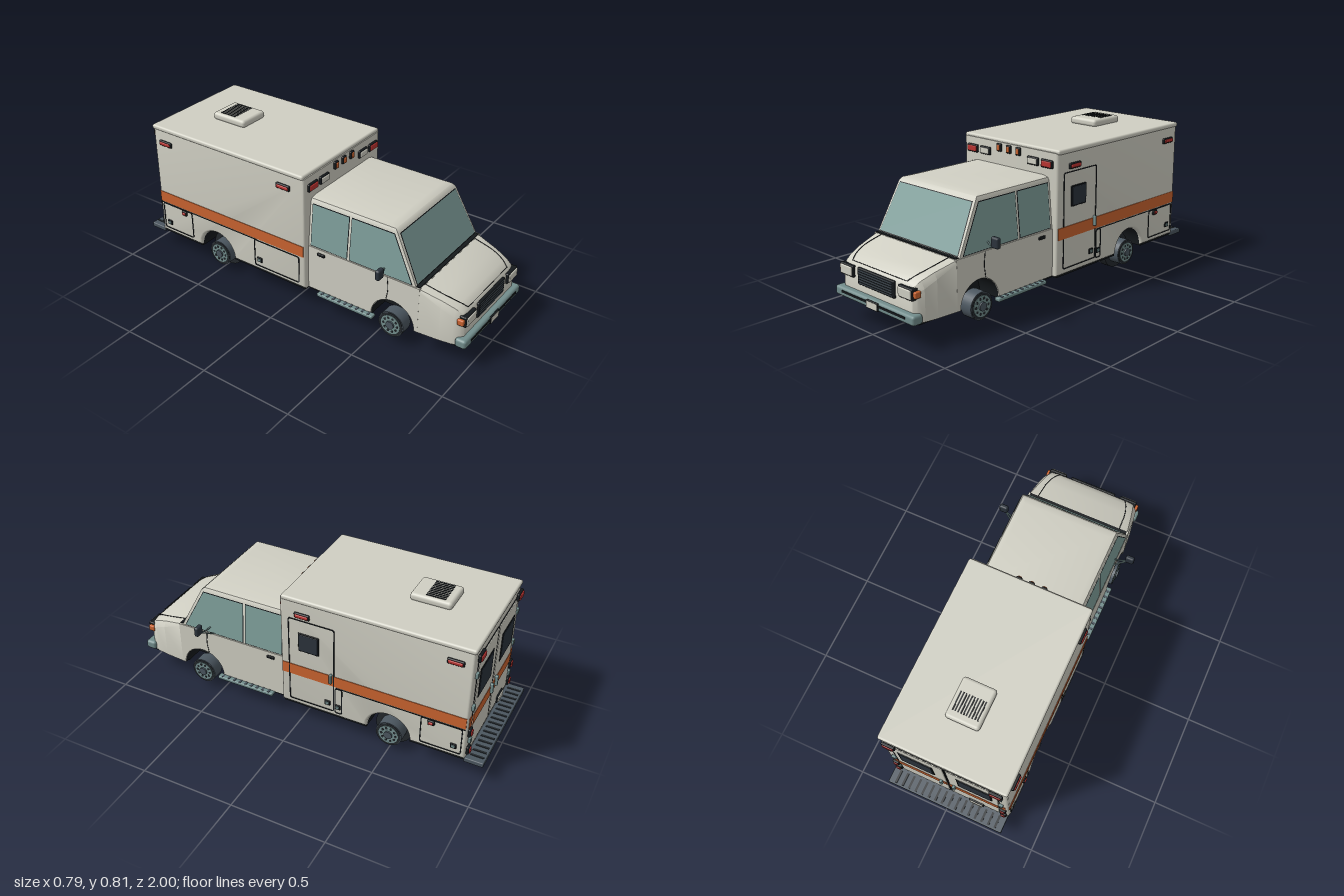
import * as THREE from 'three';
import { toCreasedNormals } from 'three/addons/utils/BufferGeometryUtils.js';
import { RoundedBoxGeometry } from 'three/addons/geometries/RoundedBoxGeometry.js';

const paint = (name, color) => Object.assign(new THREE.MeshStandardMaterial({ color }), { name });
const M = {
  body: paint('cream paint', 0xd0cfc3), orange: paint('orange', 0xcb6430), red: paint('red lamp', 0xb93330),
  navy: paint('dark window', 0x2b333c), black: paint('black trim', 0x15191c), glass: paint('tinted glass', 0x7f9f9b),
  steel: paint('blue grey metal', 0x728d8c), slate: paint('slate', 0x4b565f), tyre: paint('tyre', 0x24292d),
};
M.glass.side = M.black.side = THREE.DoubleSide;

export function createModel() {
  const root = new THREE.Group();
  root.name = 'ambulance';
  const add = (name, geo, mat, x = 0, y = 0, z = 0, parent = root) => {
    const m = new THREE.Mesh(geo, mat);
    m.name = name;
    m.position.set(x, y, z);
    parent.add(m);
    return m;
  };
  const box = (name, mat, w, h, d, x, y, z, parent) => add(name, new THREE.BoxGeometry(w, h, d), mat, x, y, z, parent);
  const soft = (name, mat, w, h, d, x, y, z, r = 0.008, parent = root) =>
    add(name, new RoundedBoxGeometry(w, h, d, 2, r), mat, x, y, z, parent);
  const group = (name, x, y, z, ry) => {
    const g = new THREE.Group();
    g.name = name;
    g.position.set(x, y, z);
    g.rotation.y = ry;
    root.add(g);
    return g;
  };
  const tube = (name, mat, pts, r) => add(name, new THREE.TubeGeometry(
    new THREE.CatmullRomCurve3(pts.map(p => new THREE.Vector3(...p))), 12, r, 6), mat);

  // Side profile (z, y) pushed across the width
  const profile = (pts, arch, width, bevel) => {
    const s = new THREE.Shape();
    s.moveTo(...pts[0]);
    s.lineTo(arch.z - arch.r, 0.12);
    s.absarc(arch.z, 0.12, arch.r, Math.PI, 0, true);
    pts.slice(1).forEach(p => s.lineTo(...p));
    const g = new THREE.ExtrudeGeometry(s, { depth: width - 2 * bevel, curveSegments: 24, bevelEnabled: bevel > 0,
      bevelSize: bevel, bevelThickness: bevel, bevelOffset: -bevel, bevelSegments: 3 });
    g.translate(0, 0, bevel - width / 2).rotateY(-Math.PI / 2);
    return toCreasedNormals(g, 0.6);
  };
  // Skin joining equal closed rings, with both ends capped
  const loft = rings => {
    const v = [], tri = (...p) => p.forEach(q => v.push(...q)), n = rings[0].length, last = rings[rings.length - 1];
    for (let k = 0; k + 1 < rings.length; k++) for (let i = 0; i < n; i++) {
      const a = rings[k], b = rings[k + 1], j = (i + 1) % n;
      tri(a[i], a[j], b[j]);
      tri(a[i], b[j], b[i]);
    }
    for (let i = 1; i + 1 < n; i++) {
      tri(last[0], last[i], last[i + 1]);
      tri(rings[0][0], rings[0][i + 1], rings[0][i]);
    }
    const g = new THREE.BufferGeometry();
    g.setAttribute('position', new THREE.Float32BufferAttribute(v, 3));
    return toCreasedNormals(g, 0.6);
  };
  // Thin rounded outline drawn in the xy plane
  const roundRect = (C, w, h, r) => {
    const p = new C(), a = w / 2, b = h / 2;
    p.moveTo(a, b - r);
    p.absarc(a - r, b - r, r, 0, Math.PI / 2);
    p.absarc(r - a, b - r, r, Math.PI / 2, Math.PI);
    p.absarc(r - a, r - b, r, Math.PI, Math.PI * 1.5);
    p.absarc(a - r, r - b, r, Math.PI * 1.5, Math.PI * 2);
    p.closePath();
    return p;
  };
  const outline = (name, w, h, x, y, parent, t = 0.005, r = 0.012) => {
    const s = roundRect(THREE.Shape, w, h, r);
    s.holes.push(roundRect(THREE.Path, w - 2 * t, h - 2 * t, r - t / 2));
    add(name, new THREE.ExtrudeGeometry(s, { depth: 0.003, bevelEnabled: false, curveSegments: 5 }), M.black, x, y, 0, parent);
  };
  const lamp = (name, mat, w, h, x, y, z, parent) => {
    soft(name + 'Bezel', M.black, w, h, 0.016, x, y, z, 0.006, parent);
    soft(name, mat, w - 0.012, h - 0.012, 0.016, x, y, z + 0.006, 0.005, parent);
  };

  // Patient box, roof cap and roof vent
  const rear = { z: -0.5, r: 0.118 }, front = { z: 0.598, r: 0.123 };
  add('patientBox', profile([[-0.905, 0.12], [0.095, 0.12], [0.095, 0.755], [-0.905, 0.755]], rear, 0.66, 0.014), M.body);
  soft('roofCap', M.body, 0.668, 0.026, 1.0, 0, 0.758, -0.411, 0.011);
  soft('roofVent', M.body, 0.178, 0.042, 0.215, 0, 0.787, -0.587, 0.017);
  for (let i = 0; i < 10; i++) box('ventSlot', M.black, 0.007, 0.004, 0.1, -0.065 + i * 0.0144, 0.808, -0.605);

  // Lower cab
  add('cabLower', profile([[0.09, 0.12], [0.74, 0.12], [0.74, 0.37], [0.09, 0.37]], front, 0.6, 0), M.body);
  // Nose with a sloping hood: z, half width, height, shoulder chamfer
  add('nose', loft([[0.735, 0.3, 0.37, 0.012], [0.85, 0.291, 0.345, 0.03], [0.915, 0.281, 0.322, 0.035],
    [0.948, 0.268, 0.3, 0.03], [0.962, 0.25, 0.275, 0.02]].map(([z, w, h, c]) => {
    const half = [[w, 0.12], [w, h - c * 1.3], [w - c * 0.6, h - c * 0.35], [w - c * 1.8, h]];
    return [...half, ...half.slice().reverse().map(([x, y]) => [-x, y])].map(([x, y]) => [x, y, z]);
  })), M.body);
  // Cab top: y, half width, windscreen z
  add('cabTop', loft([[0.368, 0.296, 0.72], [0.612, 0.274, 0.594], [0.628, 0.265, 0.578], [0.636, 0.235, 0.54]]
    .map(([y, w, z]) => [[-w, y, z], [w, y, z], [w, y, 0.09], [-w, y, 0.09]])), M.body);

  // Glass panes lying on the cab faces, each over a black gasket
  const wAt = y => 0.296 - (y - 0.368) * 0.09, zAt = y => 0.72 - (y - 0.368) * 0.516;
  const quad = (name, mat, p) => {
    const g = new THREE.BufferGeometry();
    g.setAttribute('position', new THREE.Float32BufferAttribute([p[0], p[1], p[2], p[0], p[2], p[3]].flat(), 3));
    g.computeVertexNormals();
    add(name, g, mat);
  };
  for (const [e, lift, mat, label] of [[0.004, 0.002, M.black, 'Gasket'], [0, 0.004, M.glass, 'Glass']]) {
    const lo = 0.379 - e, hi = 0.604 + e;
    const f = (x, y) => [x, y + lift * 0.45, zAt(y) + lift * 0.9];
    quad('windscreen' + label, mat, [f(-0.281 - e, lo), f(0.281 + e, lo), f(0.257 + e, hi), f(-0.257 - e, hi)]);
    for (const s of [1, -1]) {
      const p = (z, y) => [s * (wAt(y) + lift), y, z];
      const pane = (name, a, b, c) => {
        const q = [p(a, lo), p(c, lo), p(c, hi), p(b, hi)];
        quad(name + label, mat, s > 0 ? q : q.reverse());
      };
      pane('frontDoor', zAt(lo) - 0.02 + e, zAt(hi) - 0.02 + e, 0.343 - e);
      pane('rearCab', 0.325 + e, 0.325 + e, 0.112 - e);
    }
  }
  box('cowl', M.black, 0.58, 0.006, 0.02, 0, 0.371, 0.727);
  tube('hoodFrontSeam', M.black, [[-0.2, 0.302, 0.947], [0, 0.303, 0.948], [0.2, 0.302, 0.947]], 0.0015);

  // Grille, plates and bumpers
  soft('grille', M.black, 0.27, 0.084, 0.016, 0, 0.247, 0.964, 0.006);
  for (let i = 0; i < 6; i++) box('grilleBar', M.slate, 0.246, 0.005, 0.006, 0, 0.216 + i * 0.0125, 0.972);
  soft('frontBumper', M.steel, 0.58, 0.048, 0.06, 0, 0.144, 0.963, 0.014);
  box('bumperStrip', M.black, 0.47, 0.011, 0.006, 0, 0.149, 0.993);
  soft('frontPlateFrame', M.black, 0.088, 0.042, 0.01, 0, 0.143, 0.994, 0.004);
  box('frontPlate', M.body, 0.078, 0.032, 0.004, 0, 0.143, 0.998);
  soft('rearStep', M.slate, 0.65, 0.026, 0.1, 0, 0.113, -0.95, 0.005);
  for (let i = 0; i < 16; i++) box('stepRib', M.tyre, 0.012, 0.004, 0.07, -0.285 + i * 0.038, 0.127, -0.955);

  // Dark underside between the wheel arches
  for (const [a, b, w] of [[-0.9, -0.618, 0.64], [-0.382, 0.088, 0.64], [0.096, 0.475, 0.59], [0.721, 0.945, 0.54]])
    box('floor', M.black, w, 0.012, b - a, 0, 0.116, (a + b) / 2);
  for (const a of [rear, front]) {
    const half = (r, len, open) => new THREE.CylinderGeometry(r, r, len, 32, 1, open, 0, Math.PI).rotateZ(Math.PI / 2);
    add('archLiner', half(a.r - 0.002, a === rear ? 0.625 : 0.596, true), M.black, 0, 0.12, a.z);
    add('wheelWell', half(a.r - 0.003, 0.34), M.black, 0, 0.12, a.z);
    box('wellFloor', M.black, 0.34, 0.012, a.r * 2, 0, 0.116, a.z);
  }

  // Box front marker lights
  for (const x of [-0.068, 0, 0.068]) lamp('amberMarker', M.orange, 0.032, 0.042, x, 0.727, 0.099);

  for (const s of [1, -1]) {
    // Wheels: hub, rim ring and bolt holes; the rear has a larger inner tyre
    const wheel = (name, z, y) => {
      const g = group(name, s * 0.275, y, z, s * Math.PI / 2);
      const disc = (n, m, r, len, at) => add(n, new THREE.CylinderGeometry(r, r, len, 32).rotateX(Math.PI / 2), m, 0, 0, at, g);
      disc('outerTyre', M.slate, 0.07, 0.068, 0);
      disc('tyreFace', M.tyre, 0.066, 0.004, 0.034);
      disc('rim', M.steel, 0.053, 0.006, 0.036);
      disc('hub', M.slate, 0.022, 0.02, 0.038);
      for (let i = 0; i < 10; i++) {
        const t = i * Math.PI / 5;
        disc('rimHole', M.tyre, 0.007, 0.004, 0.038).position.set(0.039 * Math.cos(t), 0.039 * Math.sin(t), 0.038);
      }
      return disc;
    };
    wheel('frontWheel', front.z, 0.11);
    wheel('rearWheel', rear.z, 0.1)('innerTyre', M.tyre, 0.1, 0.05, -0.06);

    // Headlights, indicators, hood seams and roof warning lamps
    lamp('headlight', M.body, 0.1, 0.058, s * 0.215, 0.257, 0.967);
    soft('headlightHousing', M.black, 0.1, 0.056, 0.03, s * 0.215, 0.257, 0.953, 0.006);
    soft('indicator', M.orange, 0.022, 0.032, 0.035, s * 0.27, 0.257, 0.95, 0.006);
    tube('hoodSeam', M.black, [[s * 0.245, 0.371, 0.735], [s * 0.236, 0.345, 0.85], [s * 0.217, 0.322, 0.915], [s * 0.2, 0.302, 0.947]], 0.002);
    lamp('redWarning', M.red, 0.076, 0.042, s * 0.263, 0.696, 0.099);
    lamp('whiteWarning', M.body, 0.074, 0.042, s * 0.169, 0.696, 0.099);

    // Mirror, running board, cab door seam and handle
    soft('mirror', M.navy, 0.048, 0.055, 0.026, s * 0.372, 0.427, 0.563, 0.01);
    tube('mirrorArm', M.steel, [[s * 0.295, 0.375, 0.52], [s * 0.33, 0.392, 0.54], [s * 0.365, 0.41, 0.56]], 0.004);
    tube('mirrorArm', M.steel, [[s * 0.292, 0.41, 0.54], [s * 0.325, 0.402, 0.55], [s * 0.365, 0.41, 0.56]], 0.004);
    soft('runningBoard', M.steel, 0.034, 0.018, 0.335, s * 0.309, 0.111, 0.33, 0.005);
    for (let i = 0; i < 9; i++) box('boardRib', M.slate, 0.024, 0.004, 0.012, s * 0.31, 0.12, 0.19 + i * 0.035);
    tube('cabDoorSeam', M.black, [[s * 0.3, 0.368, 0.562], [s * 0.3, 0.3, 0.568], [s * 0.3, 0.243, 0.56]], 0.002);
    soft('cabHandle', M.black, 0.012, 0.016, 0.045, s * 0.302, 0.342, 0.175, 0.004);

    // Box side: u runs along the side, placed by world z
    const g = group(s > 0 ? 'leftSide' : 'rightSide', s * 0.33, 0, 0, s * Math.PI / 2), u = z => -s * z;
    box('sideStripe', M.orange, 0.985, 0.062, 0.004, u(-0.405), 0.341, 0.001, g);
    box('skirtSeam', M.black, 0.68, 0.004, 0.004, u(-0.555), 0.303, 0.001, g);
    const hatch = (z1, z2, y1, y2, name) => outline(name, z1 - z2, y2 - y1, u((z1 + z2) / 2), (y1 + y2) / 2, g);
    const latch = (z, y) => {
      soft('latch', M.black, 0.032, 0.028, 0.008, u(z), y, 0.002, 0.003, g);
      soft('latchGrip', M.steel, 0.02, 0.016, 0.008, u(z), y, 0.005, 0.003, g);
    };
    hatch(-0.67, -0.885, 0.143, 0.302, 'rearHatch');
    latch(-0.845, 0.185);
    lamp('sideMarker', M.red, 0.036, 0.028, u(-0.725), 0.284, 0.002, g);
    for (const z of [-0.03, -0.818]) lamp('sideLamp', M.red, 0.084, 0.03, u(z), 0.68, 0.003, g);
    if (s > 0) {
      hatch(0.05, -0.205, 0.148, 0.652, 'sideDoor');
      hatch(-0.208, -0.25, 0.143, 0.302, 'smallHatch');
      latch(-0.168, 0.195);
      latch(-0.225, 0.185);
      soft('sideDoorWindowFrame', M.black, 0.115, 0.108, 0.008, u(-0.064), 0.522, 0.001, 0.003, g);
      soft('sideDoorWindow', M.navy, 0.103, 0.096, 0.008, u(-0.064), 0.522, 0.003, 0.003, g);
      soft('sideDoorHandle', M.steel, 0.014, 0.055, 0.02, u(-0.188), 0.357, 0.008, 0.005, g);
    } else {
      hatch(0.06, -0.235, 0.143, 0.302, 'frontHatch');
      latch(-0.2, 0.185);
    }

    // Rear door with window, stripe, hinges, handle and lamps
    const b = group(s > 0 ? 'leftRearDoor' : 'rightRearDoor', 0, 0, -0.905, Math.PI), x = -s;
    outline('doorSeam', 0.282, 0.56, x * 0.142, 0.422, b, 0.004);
    soft('doorPanel', M.body, 0.268, 0.546, 0.012, x * 0.142, 0.422, 0, 0.005, b);
    soft('rearWindowFrame', M.black, 0.186, 0.166, 0.008, x * 0.155, 0.53, 0.005, 0.003, b);
    soft('rearWindow', M.navy, 0.172, 0.152, 0.008, x * 0.155, 0.53, 0.007, 0.003, b);
    box('rearStripe', M.orange, 0.268, 0.062, 0.004, x * 0.142, 0.335, 0.006, b);
    box('rearStripeEdge', M.orange, 0.028, 0.062, 0.004, x * 0.3, 0.335, 0.001, b);
    soft('rearHandle', M.steel, 0.016, 0.06, 0.02, x * 0.035, 0.352, 0.012, 0.005, b);
    for (const y of [0.22, 0.42, 0.61]) soft('hinge', M.steel, 0.026, 0.03, 0.016, x * 0.292, y, 0.006, 0.004, b);
    lamp('rearTopLamp', M.red, 0.07, 0.042, x * 0.277, 0.715, 0.012, b);
    lamp('rearLowLamp', M.red, 0.036, 0.046, x * 0.3, 0.275, 0.006, b);
    lamp('tailLamp', M.red, 0.036, 0.046, x * 0.3, 0.165, 0.006, b);
    if (s < 0) lamp('rearPlate', M.body, 0.085, 0.044, 0.15, 0.168, 0.006, b);
  }
  return root;
}
